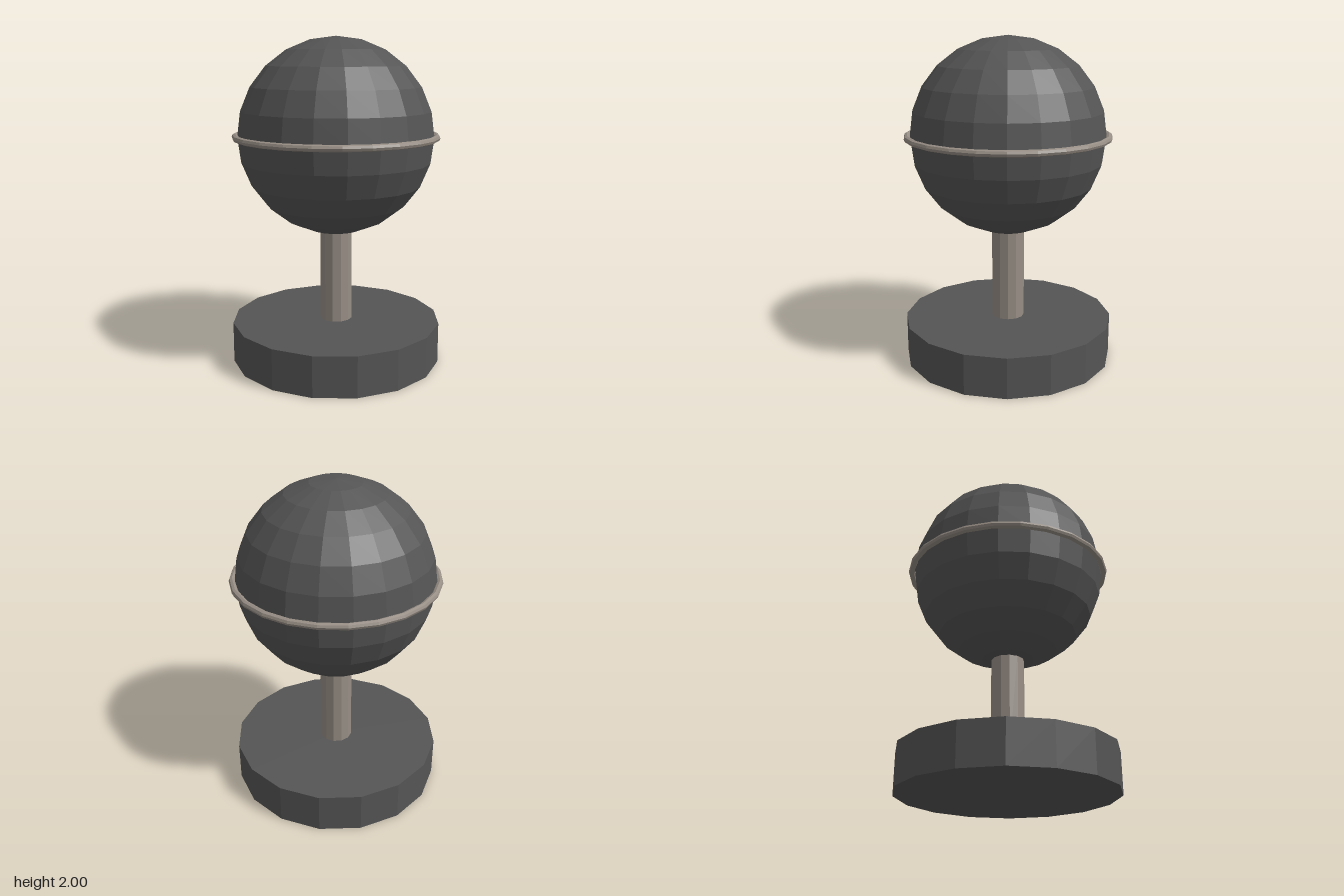
import * as THREE from 'three';

const flat = (name, color) => {
  const m = new THREE.MeshStandardMaterial({ color, flatShading: true });
  m.name = name;
  return m;
};

export function createModel() {
  const group = new THREE.Group();
  const darkGrey = flat('dark grey', 0x555555);
  const warmGrey = flat('warm grey metal', 0x978e85);

  const add = (name, geometry, material, y) => {
    const mesh = new THREE.Mesh(geometry, material);
    mesh.name = name;
    mesh.position.y = y;
    group.add(mesh);
    return mesh;
  };

  // Sixteen-sided foot and slim post
  add('base', new THREE.CylinderGeometry(0.65, 0.65, 0.25, 16), darkGrey, 0.125);
  add('post', new THREE.CylinderGeometry(0.1, 0.1, 0.6, 12), warmGrey, 0.55);

  // Faceted ball with a thin band around its equator
  add('ball', new THREE.SphereGeometry(0.596, 20, 12), darkGrey, 1.404);
  const ring = add('equatorRing', new THREE.TorusGeometry(0.611, 0.02, 8, 24), warmGrey, 1.404);
  ring.rotation.x = Math.PI / 2;

  return group;
}
